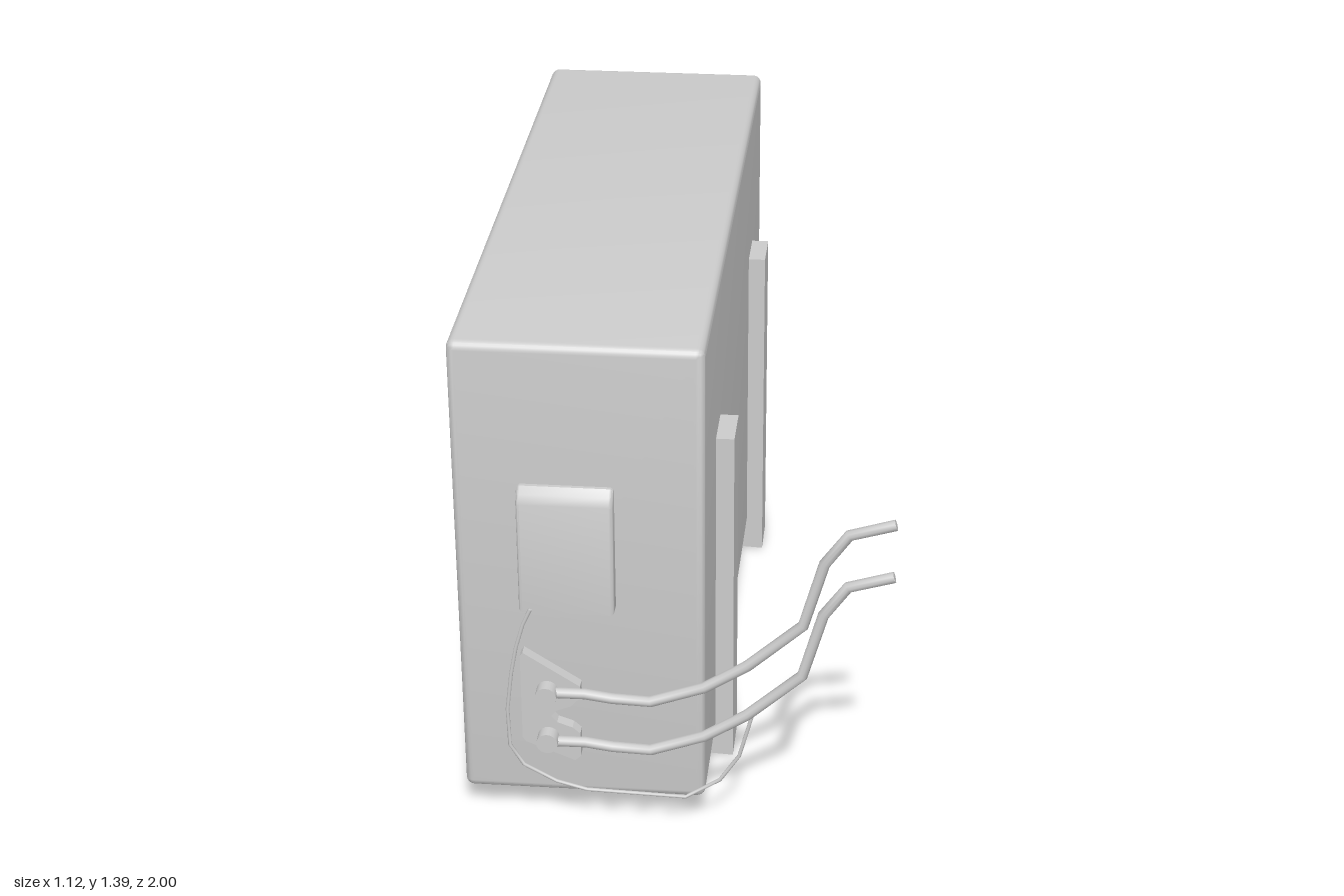
import * as THREE from 'three';
import { toCreasedNormals } from 'three/addons/utils/BufferGeometryUtils.js';

const material = new THREE.MeshStandardMaterial({ color: 0xcccccc });

function addMesh(parent, name, geometry) {
  const mesh = new THREE.Mesh(geometry, material);
  mesh.name = name;
  parent.add(mesh);
  return mesh;
}

// Rounded rectangle in the z-y plane at a given x
function ring({ x, z, y, hz, hy, r }) {
  const points = [], steps = 5;
  [[1, 1], [-1, 1], [-1, -1], [1, -1]].forEach(([sz, sy], corner) => {
    for (let i = 0; i <= steps; i++) {
      const a = (corner + i / steps) * Math.PI / 2;
      points.push([x, y + sy * (hy - r) + r * Math.sin(a), z + sz * (hz - r) + r * Math.cos(a)]);
    }
  });
  return points;
}

// Skin between rings that run from +x to -x
function loft(rings) {
  const n = rings[0].length, index = [];
  for (let j = 0; j < rings.length - 1; j++) {
    for (let i = 0; i < n; i++) {
      const a = j * n + i, b = j * n + (i + 1) % n;
      index.push(a, b, a + n, b, b + n, a + n);
    }
  }
  const geometry = new THREE.BufferGeometry();
  geometry.setAttribute('position', new THREE.Float32BufferAttribute(rings.flat(2), 3));
  geometry.setIndex(index);
  return toCreasedNormals(geometry, 0.6);
}

// Casing with rounded edges and a shallow recess in its -x face
function casingGeometry() {
  const R = 0.022, x0 = -0.56, x1 = 0.077;
  const base = { z: -0.035, y: 0.737, hz: 0.965, hy: 0.655 };
  const recess = { z: -0.33, y: 0.74, hz: 0.505, hy: 0.49, r: 0.04 };
  const outer = (x, inset, r) => ring({ ...base, x, hz: base.hz - inset, hy: base.hy - inset, r });
  const rings = [ring({ ...base, x: x1, hz: 0, hy: 0, r: 0 }), outer(x1, R + 0.004, 0.0005)];
  const steps = 5;
  for (let i = 0; i <= steps; i++) {
    const a = i / steps * Math.PI / 2;
    rings.push(outer(x1 - R + R * Math.cos(a), R - R * Math.sin(a), Math.max(R * Math.sin(a), 0.0005)));
  }
  rings.push(outer(x1 - R - 0.004, 0, R), outer(x0 + R + 0.004, 0, R));
  for (let i = 0; i <= steps; i++) {
    const a = i / steps * Math.PI / 2;
    rings.push(outer(x0 + R - R * Math.sin(a), R - R * Math.cos(a), Math.max(R * Math.cos(a), 0.0005)));
  }
  rings.push(outer(x0, R + 0.004, 0.0005));
  rings.push(ring({ ...recess, x: x0 }), ring({ ...recess, x: x0 + 0.022 }));
  rings.push(ring({ ...recess, x: x0 + 0.022, hz: 0, hy: 0, r: 0 }));
  return loft(rings);
}

// Straight-segment path with one tube section per point
class Polyline extends THREE.Curve {
  constructor(points) {
    super();
    this.points = points;
  }
  getUtoTmapping(u) {
    return u;
  }
  getPoint(t, target = new THREE.Vector3()) {
    const last = this.points.length - 1;
    const i = Math.min(Math.floor(t * last), last - 1);
    return target.lerpVectors(this.points[i], this.points[i + 1], t * last - i);
  }
}

function addTube(parent, name, points, radius, z) {
  const path = points.map(([x, y]) => new THREE.Vector3(x, y, z));
  const curve = new Polyline(path);
  const tube = new THREE.Group();
  tube.name = name;
  addMesh(tube, name + 'Run', new THREE.TubeGeometry(curve, path.length - 1, radius, 10));
  for (const t of [0, 1]) {
    const cap = addMesh(tube, name + 'End', new THREE.CircleGeometry(radius, 10));
    const out = curve.getTangent(t).multiplyScalar(t ? 1 : -1);
    cap.position.copy(curve.getPoint(t));
    cap.quaternion.setFromUnitVectors(new THREE.Vector3(0, 0, 1), out);
  }
  parent.add(tube);
}

const polygon = (points) => new THREE.Shape(points.map(([x, y]) => new THREE.Vector2(x, y)));

export function createModel() {
  const model = new THREE.Group();
  model.name = 'outdoorUnit';

  addMesh(model, 'casing', casingGeometry());

  // L-shaped wall brackets with a tapered arm
  const bracketShape = polygon([
    [-0.525, 0.035], [0.125, 0], [0.125, 0.983], [0.076, 0.983],
    [0.076, 0.115], [0.07, 0.097], [0.055, 0.083], [-0.525, 0.083],
  ]);
  for (const z of [0.465, -0.672]) {
    const bracket = addMesh(model, 'wallBracket',
      new THREE.ExtrudeGeometry(bracketShape, { depth: 0.137, bevelEnabled: false }));
    bracket.position.z = z;
  }

  // Wiring cover: side profile swept across x, sloped at the top
  const b = 0.01;
  const cover = addMesh(model, 'wiringCover', toCreasedNormals(new THREE.ExtrudeGeometry(
    polygon([[-0.91, 0.665], [-0.91, 0.998], [-0.936, 0.998], [-0.948, 0.985], [-0.956, 0.965], [-0.956, 0.665]]),
    { depth: 0.245 - 2 * b, bevelSize: b, bevelThickness: b, bevelSegments: 3 }), 0.6));
  cover.rotation.y = Math.PI / 2;
  cover.position.x = -0.395 + b;

  // Valve plate with a notch between the two valves
  const plate = addMesh(model, 'valvePlate', new THREE.ExtrudeGeometry(polygon([
    [-0.39, 0.53], [-0.397, 0.52], [-0.397, 0.27], [-0.388, 0.258], [-0.26, 0.206], [-0.245, 0.22],
    [-0.245, 0.29], [-0.265, 0.308], [-0.305, 0.322], [-0.32, 0.34], [-0.305, 0.358],
    [-0.268, 0.373], [-0.243, 0.4], [-0.243, 0.435],
  ]), { depth: 0.037, bevelEnabled: false }));
  plate.position.z = 0.925;

  // Valves
  for (const y of [0.42, 0.278]) {
    const valve = addMesh(model, 'valve', new THREE.CylinderGeometry(0.028, 0.028, 0.05, 20));
    valve.rotation.x = Math.PI / 2;
    valve.position.set(-0.328, y, 0.975);
  }

  // Two matching refrigerant pipes, the lower one offset downwards
  const pipe = [
    [-0.32, 0.42], [-0.23, 0.421], [-0.16, 0.411], [-0.06, 0.407], [0.08, 0.458],
    [0.19, 0.53], [0.33, 0.658], [0.38, 0.84], [0.44, 0.925], [0.555, 0.96],
  ];
  addTube(model, 'upperPipe', pipe, 0.0145, 0.973);
  addTube(model, 'lowerPipe', pipe.map(([x, y]) => [x, y - 0.149]), 0.0145, 0.973);

  // Thin cable from the cover to the pipes
  addTube(model, 'cable', [
    [-0.365, 0.665], [-0.385, 0.62], [-0.405, 0.55], [-0.42, 0.47], [-0.433, 0.36], [-0.43, 0.25],
    [-0.395, 0.19], [-0.31, 0.142], [-0.23, 0.12], [0.03, 0.112], [0.12, 0.172], [0.17, 0.25], [0.205, 0.385],
  ], 0.005, 0.968);

  return model;
}
